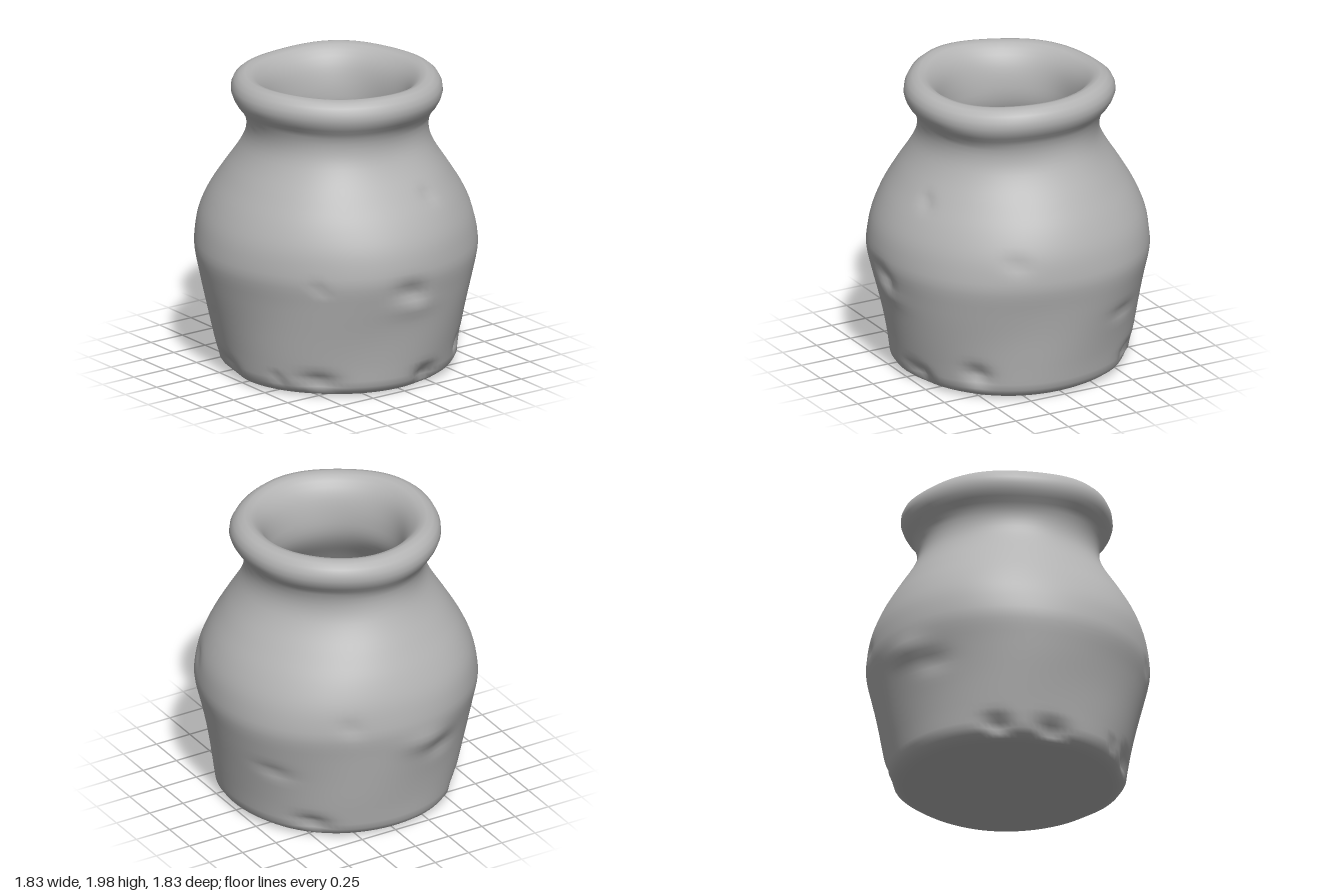
import * as THREE from 'three';
import { mergeVertices } from 'three/addons/utils/BufferGeometryUtils.js';

// Radius and height, from the underside centre up the outside, over the lip and down inside
const PROFILE = [
  [0, 0.035], [0.3, 0.035], [0.56, 0.03], [0.64, 0.012], [0.71, 0.025], [0.765, 0.07], [0.78, 0.13],
  [0.795, 0.22], [0.835, 0.43], [0.88, 0.64], [0.912, 0.79], [0.914, 0.88], [0.888, 1.03],
  [0.825, 1.18], [0.735, 1.33], [0.645, 1.47], [0.598, 1.57], [0.588, 1.66], [0.61, 1.74],
  [0.662, 1.81], [0.685, 1.885], [0.655, 1.955], [0.59, 1.985], [0.53, 1.96], [0.47, 1.88],
  [0.438, 1.76], [0.435, 1.62], [0.48, 1.5], [0.6, 1.33], [0.71, 1.15], [0.765, 0.9],
  [0.72, 0.55], [0.66, 0.25], [0.57, 0.14], [0.3, 0.12], [0, 0.12],
];

// Chips, dents and bumps on the outside: angle from the front, height, half width, half height, depth
const DENTS = [
  [-0.68, 0.1, 0.12, 0.05, 0.06], [-0.2, 0.09, 0.15, 0.05, 0.06], [0.8, 0.12, 0.15, 0.05, 0.05],
  [0.45, 0.11, 0.05, 0.03, 0.03], [1.79, 0.1, 0.12, 0.05, 0.06], [2.38, 0.18, 0.1, 0.06, 0.05],
  [-2.3, 0.12, 0.14, 0.05, 0.05], [1.5, 0.75, 0.12, 0.06, 0.03], [1.55, 0.62, 0.2, 0.06, -0.012],
  [-1.4, 0.7, 0.18, 0.07, -0.025], [-1.2, 0.58, 0.15, 0.06, 0.02], [0.82, 0.8, 0.05, 0.03, 0.02],
  [1.85, 1.3, 0.07, 0.04, 0.02], [1.57, 0.7, 0.07, 0.05, 0.02], [2.7, 1.0, 0.1, 0.05, 0.015],
  [-2.6, 0.5, 0.14, 0.04, 0.02], [-2.0, 0.9, 0.08, 0.05, 0.015],
];

// Inward push from all dents at one point of the outer wall
function dentDepth(angle, y) {
  let depth = 0;
  for (const [a, h, w, t, d] of DENTS) {
    const da = Math.atan2(Math.sin(angle - a), Math.cos(angle - a));
    depth += d * Math.exp(-((da / w) ** 2) - ((y - h) / t) ** 2);
  }
  return depth;
}

export function createModel() {
  const clay = new THREE.MeshStandardMaterial({ color: 0xb4b4b4 });
  clay.name = 'grey clay';

  const curve = new THREE.SplineCurve(PROFILE.map(([r, y]) => new THREE.Vector2(r, y)));
  const points = curve.getSpacedPoints(130);
  points.forEach((p) => { p.x = Math.max(0, p.x); });
  points[0].x = points[points.length - 1].x = 0;

  let geometry = new THREE.LatheGeometry(points, 112);
  const pos = geometry.attributes.position;
  const rows = points.length;
  // Index of the lip crest, which divides the outer wall from the inner one
  const crest = points.reduce((best, p, i) => (p.y > points[best].y ? i : best), 0);

  // Hand-formed unevenness
  for (let i = 0; i < pos.count; i++) {
    const row = i % rows;
    let x = pos.getX(i), y = pos.getY(i), z = pos.getZ(i);
    const r = Math.hypot(x, z);
    if (r < 0.01) continue;
    const a = Math.atan2(x, z);
    let push = 0.005 * Math.sin(3 * a + 4 * y) + 0.004 * Math.sin(5 * a - 7 * y + 1);
    if (row <= crest && r > 0.6) push -= dentDepth(a, y);
    const k = (r + push * Math.min(1, r / 0.4)) / r;
    if (y > 1.7) y += 0.008 * Math.sin(2 * a + 0.6) + 0.004 * Math.sin(5 * a);
    pos.setXYZ(i, x * k, Math.max(0, y), z * k);
  }

  // Weld the seam so the shading stays smooth all round
  geometry.deleteAttribute('uv');
  geometry.deleteAttribute('normal');
  geometry = mergeVertices(geometry, 1e-4);
  geometry.computeVertexNormals();

  const pot = new THREE.Mesh(geometry, clay);
  pot.name = 'pot';
  const model = new THREE.Group();
  model.name = 'clayPot';
  model.add(pot);
  return model;
}
